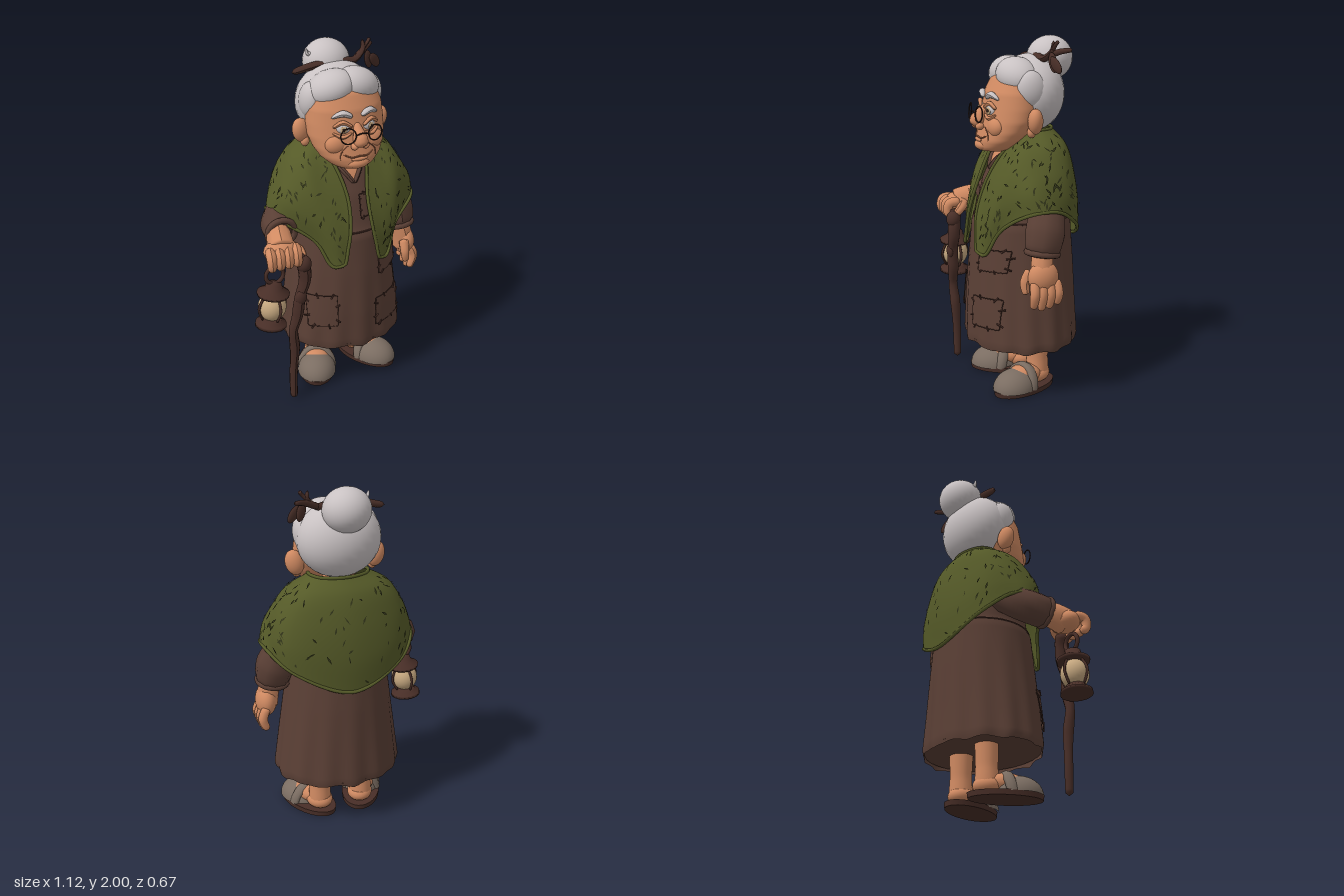
import * as THREE from 'three';
import { mergeVertices, mergeGeometries } from 'three/addons/utils/BufferGeometryUtils.js';

const CX = 0.07; // body axis
const V = (x, y, z) => new THREE.Vector3(x, y, z);
const mat = (name, color, side = THREE.FrontSide) => {
  const m = new THREE.MeshStandardMaterial({ color, side });
  m.name = name;
  return m;
};

function add(parent, name, geo, material, pos = [0, 0, 0], scale = [1, 1, 1], rot = [0, 0, 0]) {
  const m = new THREE.Mesh(geo, material);
  m.name = name;
  m.position.set(...pos);
  m.scale.set(...scale);
  m.rotation.set(...rot);
  parent.add(m);
  return m;
}

// smooth surface from f(u, v); u to the right, v up gives outward faces
function surface(nu, nv, f) {
  const pos = [], idx = [], w = nu + 1;
  for (let j = 0; j <= nv; j++) for (let i = 0; i <= nu; i++) pos.push(...f(i / nu, j / nv).toArray());
  for (let j = 0; j < nv; j++) for (let i = 0; i < nu; i++) {
    const a = j * w + i;
    idx.push(a, a + 1, a + w + 1, a, a + w + 1, a + w);
  }
  let g = new THREE.BufferGeometry();
  g.setAttribute('position', new THREE.Float32BufferAttribute(pos, 3));
  g.setIndex(idx);
  g = mergeVertices(g, 1e-5);
  g.computeVertexNormals();
  return g;
}

const lerpList = (list, t) => {
  const k = Math.min(Math.max(t, 0), 1) * (list.length - 1), i = Math.min(Math.floor(k), list.length - 2);
  return THREE.MathUtils.lerp(list[i], list[i + 1], k - i);
};

// round-ended tube with varying radius
function limb(pts, radii, seg = 20, sides = 10, k = 14) {
  const curve = new THREE.CatmullRomCurve3(pts.map(p => V(...p)));
  const g = new THREE.TubeGeometry(curve, seg, 1, sides);
  const p = g.attributes.position, v = V(0, 0, 0);
  for (let i = 0; i < p.count; i++) {
    const t = Math.floor(i / (sides + 1)) / seg, c = curve.getPointAt(t);
    const r = lerpList(radii, t) * Math.sqrt(Math.max(1e-4, 1 - Math.pow(Math.abs(2 * t - 1), k)));
    v.fromBufferAttribute(p, i).sub(c).multiplyScalar(r).add(c);
    p.setXYZ(i, v.x, v.y, v.z);
  }
  g.computeVertexNormals();
  return g;
}

// oval sections: y, half width, front z, back z
const DRESS = [[0.27, .367, .305, -.325], [0.3, .374, .31, -.33], [.5, .347, .303, -.32], [.75, .312, .287, -.31], [.99, .28, .265, -.295],
  [1.01, .265, .245, -.28], [1.2, .27, .2, -.25], [1.33, .22, .145, -.2], [1.4, .12, .105, -.15]];
const FACE = [[1.372, .01, .17, .12], [1.378, .09, .225, .06], [1.4, .13, .24, .02], [1.44, .175, .24, -.02], [1.49, .205, .228, -.06],
  [1.55, .224, .214, -.1], [1.62, .226, .2, -.12], [1.7, .218, .185, -.12], [1.78, .19, .145, -.1], [1.84, .12, .08, -.08]];
function section(table, y) {
  let i = 0;
  while (i < table.length - 2 && y > table[i + 1][0]) i++;
  const a = table[i], b = table[i + 1], t = THREE.MathUtils.clamp((y - a[0]) / (b[0] - a[0]), 0, 1);
  return a.map((n, k) => n + (b[k] - n) * t);
}
function oval(table, a, y, out = 0) {
  const [, w, f, b] = section(table, y);
  return V(CX + (w + out) * Math.sin(a), y, (f + b) / 2 + ((f - b) / 2 + out) * Math.cos(a));
}
const onFront = (table, dx, y, out) => oval(table, Math.asin(THREE.MathUtils.clamp(dx / section(table, y)[1], -1, 1)), y, out);

// half of the shawl: columns from neck to hem, inner front edge round to the middle of the back
const SHAWL = [
  [[.13, 1.46, .06], [.09, 1.35, .145], [.06, 1.2, .22], [.07, 1.02, .275], [.11, .83, .287]],
  [[.15, 1.48, .03], [.17, 1.37, .115], [.17, 1.2, .205], [.165, 1.0, .258], [.17, .82, .26]],
  [[.16, 1.49, 0], [.25, 1.4, .08], [.28, 1.27, .155], [.275, 1.12, .195], [.25, .97, .195]],
  [[.165, 1.495, -.04], [.29, 1.41, .01], [.36, 1.29, .06], [.4, 1.2, .08], [.42, 1.09, .085]],
  [[.165, 1.5, -.08], [.29, 1.42, -.08], [.37, 1.3, -.08], [.415, 1.18, -.07], [.435, 1.1, -.07]],
  [[.13, 1.5, -.14], [.23, 1.42, -.185], [.3, 1.29, -.205], [.325, 1.15, -.22], [.325, 1.0, -.22]],
  [[0, 1.5, -.18], [0, 1.42, -.245], [0, 1.27, -.29], [0, 1.07, -.312], [0, .87, -.308]]];
const column = (c, s) => new THREE.CatmullRomCurve3(c.map(p => V(CX + s * p[0], p[1], p[2])));
const COLUMNS = [...SHAWL.map(c => column(c, -1)), ...SHAWL.slice(0, 6).reverse().map(c => column(c, 1))];
const shawlPoint = (u, v) => new THREE.CatmullRomCurve3(COLUMNS.map(c => c.getPoint(v))).getPoint(u);

export function createModel() {
  const root = new THREE.Group();
  root.name = 'oldWoman';
  const skin = mat('skin', 0xd08a62), crease = mat('skinCrease', 0x8f583d), hair = mat('greyHair', 0xc9c2c3);
  const green = mat('greenWool', 0x555a28, THREE.DoubleSide), darkGreen = mat('darkGreenWool', 0x33361a, THREE.DoubleSide);
  const brown = mat('brownCloth', 0x5a3f35, THREE.DoubleSide), wood = mat('darkWood', 0x482e27), thread = mat('darkThread', 0x2c1c18);
  const felt = mat('slipperFelt', 0x7b6d62), glass = mat('lanternGlass', 0xc6a880);
  const ball = new THREE.SphereGeometry(1, 28, 18);
  const group = name => { const g = new THREE.Group(); g.name = name; root.add(g); return g; };

  // dress with soft pleats and a scalloped hem
  const dress = group('dress');
  add(dress, 'gown', surface(96, 40, (u, v) => {
    const a = (u * 2 - 1) * Math.PI, y = .27 + v * 1.13, low = Math.max(0, 1 - v / .6);
    const p = oval(DRESS, a, y, .007 * low * Math.cos(a * 14) - .004 * low);
    p.y += .014 * Math.abs(Math.sin(a * 5)) * Math.max(0, 1 - v * 6);
    return p;
  }), brown);
  add(dress, 'skirtInside', new THREE.CircleGeometry(1, 40), brown, [CX, .3, -.01], [.36, .31, 1], [Math.PI / 2, 0, 0]);
  const ring = (y, out) => new THREE.CatmullRomCurve3([...Array(40).keys()].map(i => oval(DRESS, i * Math.PI / 20, y, out)), true);
  add(dress, 'waistSeam', new THREE.TubeGeometry(ring(1.0, 0), 80, .005, 5, true), wood);
  // open collar
  add(dress, 'bareThroat', surface(8, 12, (s, t) => onFront(DRESS, (s - .5) * 2 * .085 * t, 1.275 + t * .125, .006)), skin);
  for (const s of [-1, 1])
    add(dress, 'collarEdge', limb([0, .5, 1].map(t => onFront(DRESS, s * .09 * t, 1.27 + t * .13, .006).toArray()), [.012, .014, .012]), brown);
  // sewn patches with stitches: dx, y, width, height
  for (const [x, y, w, h] of [[-.215, .53, .14, .19], [.175, .49, .18, .17], [.185, .79, .15, .12], [.055, 1.15, .08, .13]]) {
    const at = (s, t, o) => onFront(DRESS, x + (s - .5) * w, y + (t - .5) * h + .012 * (s - .5), o);
    add(dress, 'patch', surface(8, 8, (s, t) => at(s, t, .011)), brown);
    const edge = [...Array(24).keys()].map(i => {
      const k = i % 6 / 6;
      return [[k, 0], [1, k], [1 - k, 1], [0, 1 - k]][Math.floor(i / 6)];
    });
    add(dress, 'patchEdge', new THREE.TubeGeometry(new THREE.CatmullRomCurve3(edge.map(e => at(...e, .0095)), true), 60, .003, 5, true), wood);
    const stitches = edge.filter((e, i) => i % 3 === 1).map(([s, t]) => new THREE.TubeGeometry(
      new THREE.LineCurve3(at(.5 + (s - .5) * .85, .5 + (t - .5) * .85, .012), at(.5 + (s - .5) * 1.18, .5 + (t - .5) * 1.18, .012)), 1, .005, 5));
    add(dress, 'stitches', mergeGeometries(stitches), wood);
  }

  // shawl, rolled edge and worn marks
  const shawl = group('shawl');
  add(shawl, 'shawlCloth', surface(96, 32, (u, v) => {
    const p = shawlPoint(u, v), w = .005 * Math.sin(u * 47 + v * 6) * v;
    return p.add(V((p.x - CX) * w * 3, 0, p.z * w * 3));
  }), green);
  const rim = [];
  for (let i = 0; i < 8; i++) rim.push(shawlPoint(0, i / 8));
  for (let i = 0; i < 48; i++) rim.push(shawlPoint(i / 48, 1));
  for (let i = 0; i < 8; i++) rim.push(shawlPoint(1, 1 - i / 8));
  for (let i = 0; i < 24; i++) rim.push(shawlPoint(1 - i / 24, 0));
  add(shawl, 'shawlEdge', new THREE.TubeGeometry(new THREE.CatmullRomCurve3(rim, true), 220, .01, 8, true), green);
  let seed = 7;
  const rnd = () => (seed = (seed * 16807) % 2147483647) / 2147483647;
  const marks = [];
  for (let i = 0; i < 200; i++) {
    const u = .03 + rnd() * .94, v = .12 + rnd() * .83, p = shawlPoint(u, v);
    const du = shawlPoint(u + .01, v).sub(p).normalize(), dv = shawlPoint(u, v + .01).sub(p).normalize();
    const n = du.clone().cross(dv).normalize(), t = (rnd() - .5) * 2;
    const d = dv.clone().multiplyScalar(Math.cos(t)).addScaledVector(du, Math.sin(t)).normalize(), s = n.clone().cross(d);
    const l = .012 + rnd() * .018, k = .004 + rnd() * .003;
    p.addScaledVector(n, .006);
    const c = [[-l, 0], [0, -k], [l, 0], [0, k]].map(([a, b]) => p.clone().addScaledVector(d, a).addScaledVector(s, b));
    marks.push(c[0], c[1], c[2], c[0], c[2], c[3]);
  }
  const markGeo = new THREE.BufferGeometry().setFromPoints(marks);
  markGeo.computeVertexNormals();
  add(shawl, 'wornMarks', markGeo, darkGreen);

  // head
  const head = group('head');
  add(head, 'neck', limb([[CX, 1.28, .02], [CX, 1.38, .03], [CX, 1.5, .03]], [.1, .1, .11]), skin);
  add(head, 'face', surface(48, 40, (u, v) => oval(FACE, (u * 2 - 1) * Math.PI, 1.372 + v * .468)), skin);
  add(head, 'nose', limb([[CX, 1.635, .185], [CX, 1.57, .23], [CX, 1.515, .262]], [.018, .028, .042, .04], 20, 12, 6), skin);
  const F = (dx, y, o) => onFront(FACE, dx, y, o).toArray();
  add(head, 'mouth', limb([F(-.09, 1.472, .001), F(-.045, 1.454, .002), F(0, 1.458, .003), F(.045, 1.454, .002), F(.09, 1.472, .001)], [.004, .005, .004]), crease);
  add(head, 'lowerLip', ball, skin, F(0, 1.442, -.004), [.05, .012, .014]);
  add(head, 'chin', ball, skin, [CX, 1.412, .208], [.07, .034, .047]);
  add(head, 'glassesBridge', limb([[CX - .038, 1.59, .262], [CX, 1.602, .272], [CX + .038, 1.59, .262]], [.004, .004]), thread);
  for (const s of [-1, 1]) {
    add(head, 'eye', ball, hair, F(s * .08, 1.612, -.012), [.042, .033, .028], [0, s * .35, 0]);
    add(head, 'iris', ball, glass, F(s * .078, 1.608, .012), [.019, .02, .006], [0, s * .35, 0]);
    add(head, 'pupil', ball, thread, F(s * .078, 1.608, .016), [.009, .01, .005], [0, s * .35, 0]);
    add(head, 'eyelid', limb([F(s * .03, 1.62, .012), F(s * .08, 1.648, .014), F(s * .13, 1.62, .008)], [.009, .013, .009]), skin);
    add(head, 'eyeBag', limb([F(s * .035, 1.585, .004), F(s * .085, 1.567, .006), F(s * .135, 1.59, .004)], [.006, .011, .006]), skin);
    add(head, 'eyebrow', limb([F(s * .025, 1.672, .008), F(s * .075, 1.694, .01), F(s * .135, 1.67, .004)], [.014, .019, .008], 20, 8, 6), hair);
    add(head, 'cheek', ball, skin, F(s * .125, 1.52, -.037), [.07, .06, .05]);
    add(head, 'nostril', ball, skin, [CX + s * .033, 1.518, .238], [.02, .02, .024]);
    add(head, 'smileLine', limb([F(s * .06, 1.52, .003), F(s * .1, 1.48, .003), F(s * .105, 1.44, .001)], [.003, .003, .002]), crease);
    add(head, 'glassesRing', new THREE.TorusGeometry(.043, .004, 8, 28), thread, [CX + s * .08, 1.59, .257], [1, 1, 1], [-.1, s * .15, 0]);
    add(head, 'ear', ball, skin, [CX + s * .238, 1.56, -.012], [.052, .072, .042], [0, s * -.3, s * -.25]);
    add(head, 'earLobe', ball, skin, [CX + s * .222, 1.5, .005], [.025, .03, .025]);
    add(head, 'frontHair', ball, hair, [CX + s * .075, 1.79, .03], [.14, .1, .115], [0, s * .3, s * -.3]);
    add(head, 'templeHair', ball, hair, [CX + s * .18, 1.725, -.01], [.062, .105, .085], [.25, 0, 0]);
  }
  add(head, 'hair', ball, hair, [CX, 1.69, -.065], [.238, .215, .187]);
  add(head, 'bun', ball, hair, [CX - .005, 1.876, -.183], [.134, .124, .13], [.3, 0, 0]);
  add(head, 'looseCurl', limb([[-.02, 1.93, -.16], [-.055, 1.935, -.16], [-.065, 1.965, -.16]], [.018, .012, .004]), hair);
  // twig through the bun, with leaves
  const twig = group('hairTwig');
  add(twig, 'twigStem', limb([[-.18, 1.86, -.1], [-.05, 1.885, -.095], [.1, 1.895, -.085], [.2, 1.885, -.1], [.265, 1.935, -.125], [.262, 1.985, -.13]], [.02, .022, .02, .024, .018, .013], 36, 7), wood);
  add(twig, 'twigFork', limb([[.2, 1.885, -.1], [.29, 1.925, -.15], [.355, 1.94, -.2]], [.02, .017, .012]), wood);
  add(twig, 'twigTip', limb([[.265, 1.935, -.125], [.3, 1.97, -.13], [.31, 1.985, -.14]], [.012, .01]), wood);
  for (const [x, y, r] of [[.295, 1.87, .3], [.335, 1.86, .8]])
    add(twig, 'leaf', ball, wood, [x, y, -.115], [.03, .055, .012], [0, .4, r]);

  // arms: sleeves, cuffs, hands
  const cuff = (g, pos, dir, r) => add(g, 'cuff', new THREE.TorusGeometry(r, .018, 8, 24), brown, pos)
    .quaternion.setFromUnitVectors(V(0, 0, 1), V(...dir).normalize());
  const right = group('rightArm');
  add(right, 'sleeve', limb([[-.18, 1.17, -.07], [-.29, 1.08, -.03], [-.345, 1.04, .05], [-.352, 1.03, .135]], [.1, .09, .095, .095]), brown);
  cuff(right, [-.352, 1.03, .122], [-.1, -.15, 1], .08);
  add(right, 'wrist', limb([[-.36, 1.03, .09], [-.385, 1.005, .17], [-.4, .98, .24]], [.065, .074, .078]), skin);
  add(right, 'palm', ball, skin, [-.4, .98, .225], [.1, .06, .078]);
  for (let i = 0; i < 4; i++) {
    const x = -.485 + i * .05;
    add(right, 'finger', limb([[x + .015, 1.0, .23], [x, .985, .295], [x, .935, .305], [x + .01, .905, .275]], [.028, .03, .027, .024], 20, 10, 8), skin);
  }
  add(right, 'thumb', limb([[-.35, .99, .2], [-.295, .965, .235], [-.285, .93, .27]], [.032, .028, .022]), skin);
  const left = group('leftArm');
  add(left, 'sleeve', limb([[.31, 1.2, -.08], [.39, 1.08, -.05], [.44, .96, -.02], [.452, .85, .005]], [.09, .1, .112, .096]), brown);
  cuff(left, [.452, .868, 0], [.1, -1, .15], .084);
  add(left, 'wrist', limb([[.455, .88, 0], [.475, .8, .01], [.49, .7, .01]], [.06, .062, .065]), skin);
  add(left, 'palm', ball, skin, [.492, .745, .008], [.06, .09, .086]);
  for (let i = 0; i < 4; i++) {
    const z = -.06 + i * .041, e = [.02, 0, -.01, .005][i];
    add(left, 'finger', limb([[.505, .73, z], [.53, .66, z * 1.1], [.505, .57 + e, z * 1.1]], [.027, .027, .021], 20, 10, 8), skin);
  }
  add(left, 'thumb', limb([[.46, .78, .07], [.455, .71, .1], [.465, .645, .095]], [.03, .027, .02]), skin);

  // legs and slippers
  for (const s of [-1, 1]) {
    const leg = group(s < 0 ? 'rightLeg' : 'leftLeg');
    add(leg, 'shin', limb([[CX + s * .128, .04, -.07], [CX + s * .128, .15, -.07], [CX + s * .125, .42, -.07]], [.07, .062, .066, .072], 20, 16, 20), skin);
    const foot = new THREE.Group();
    foot.name = 'foot';
    foot.position.set(CX + s * .168, 0, .025);
    foot.rotation.y = s * .42;
    leg.add(foot);
    add(foot, 'sole', new THREE.CylinderGeometry(1, .98, .03, 32), wood, [0, .015, 0], [.115, 1, .21]);
    add(foot, 'heel', ball, skin, [0, .07, -.095], [.075, .055, .085]);
    add(foot, 'instep', ball, skin, [0, .085, 0], [.078, .06, .12]);
    add(foot, 'slipperTop', new THREE.SphereGeometry(1, 28, 10, 0, Math.PI * 2, 0, Math.PI / 2), felt, [0, .025, .07], [.115, .108, .137]);
    add(foot, 'slipperBand', new THREE.TorusGeometry(.098, .02, 8, 24, Math.PI), felt, [0, .025, .02], [1, 1.15, 1.6], [-.2, 0, 0]);
  }

  // walking stick
  add(root, 'walkingStick', limb([[-.35, 0, .255], [-.352, .15, .255], [-.345, .35, .265], [-.355, .48, .275], [-.33, .58, .28], [-.315, .7, .285], [-.285, .8, .285], [-.29, .88, .28], [-.32, .96, .26]],
    [.022, .024, .025, .031, .026, .034, .03, .038, .034], 60, 9, 60), wood);
  add(root, 'stickKnot', ball, wood, [-.29, .9, .285], [.042, .05, .042]);
  add(root, 'stickBurr', ball, wood, [-.315, .7, .3], [.032, .045, .022]);

  // lantern hanging from the hand
  const lantern = group('lantern');
  lantern.position.set(-.475, .525, .23);
  lantern.rotation.z = -.1;
  const lathe = pts => new THREE.LatheGeometry(pts.map(p => new THREE.Vector2(...p)), 20);
  add(lantern, 'lanternBase', lathe([[0, 0], [.09, 0], [.088, .018], [.06, .03], [.055, .05], [0, .05]]), wood);
  add(lantern, 'lanternGlass', ball, glass, [0, .12, 0], [.08, .085, .08]);
  add(lantern, 'lanternCap', lathe([[0, .188], [.09, .192], [.093, .208], [.05, .235], [.045, .262], [.02, .272], [0, .274]]), wood);
  add(lantern, 'lanternHandle', new THREE.TorusGeometry(.052, .012, 8, 24), wood, [0, .315, 0]);
  for (let i = 0; i < 4; i++) {
    const a = i * Math.PI / 2 + .2, c = Math.sin(a), d = Math.cos(a);
    add(lantern, 'lanternBar', limb([[c * .055, .04, d * .055], [c * .087, .12, d * .087], [c * .055, .2, d * .055]], [.008, .008], 14, 6), wood);
  }
  return root;
}
